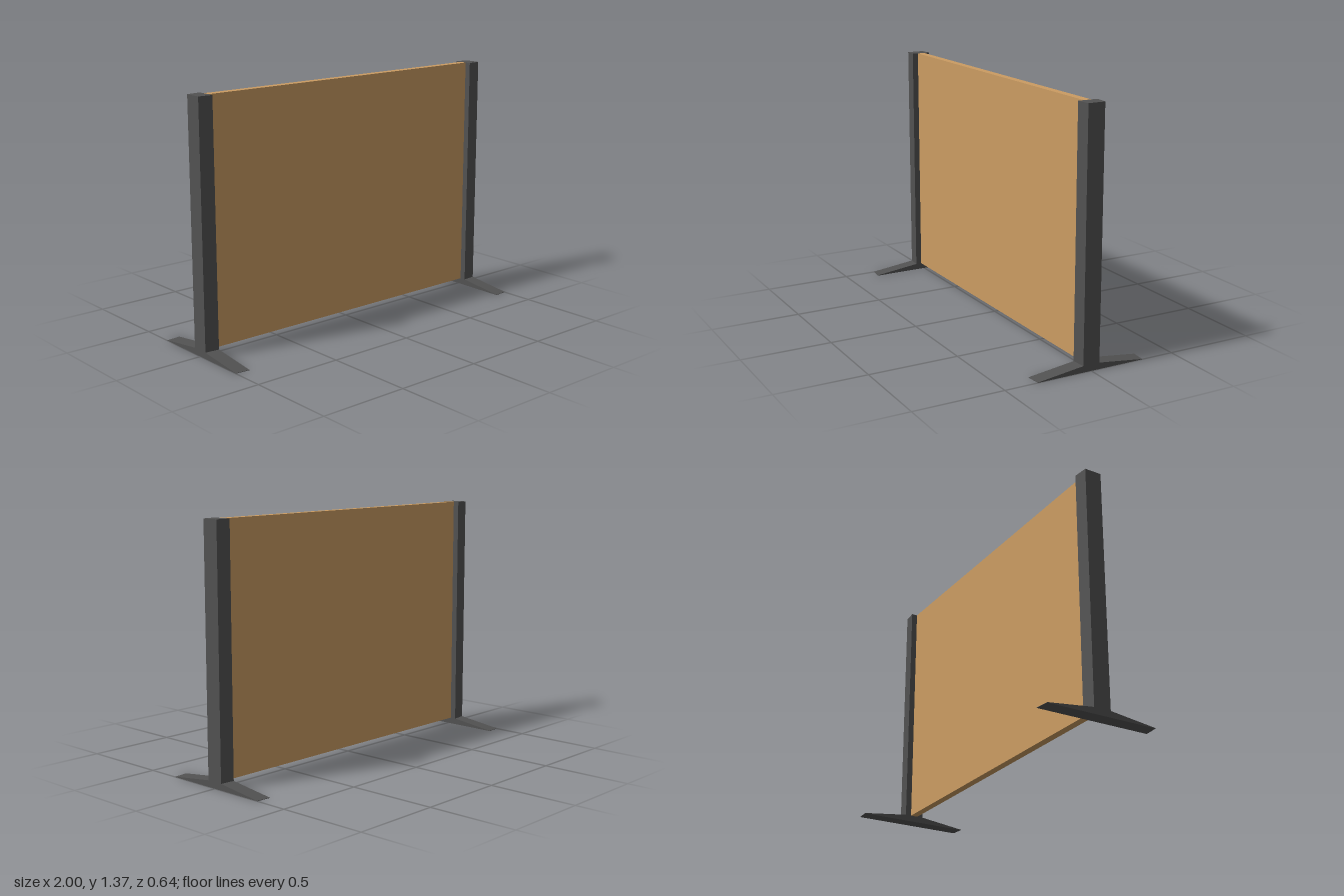
import * as THREE from 'three';

const INNER_X = 0.92, LEG_WIDTH = 0.08, HEIGHT = 1.37, FOOT_HEIGHT = 0.035;

// Upright and tapered feet in one silhouette, extruded sideways and slightly narrowed on the outside
function legGeometry() {
  const half = [[0.32, 0], [0.32, 0.002], [0.055, FOOT_HEIGHT], [0.055, HEIGHT]];
  const outline = [...half, ...half.map(([z, y]) => [-z, y]).reverse()];
  const shape = new THREE.Shape(outline.map(([z, y]) => new THREE.Vector2(z, y)));
  const geometry = new THREE.ExtrudeGeometry(shape, { depth: LEG_WIDTH, bevelEnabled: false });
  geometry.rotateY(Math.PI / 2);
  const p = geometry.attributes.position;
  for (let i = 0; i < p.count; i++) {
    if (p.getX(i) > LEG_WIDTH / 2) p.setZ(i, p.getZ(i) - Math.sign(p.getZ(i)) * 0.007);
  }
  geometry.translate(INNER_X, 0, 0);
  geometry.computeVertexNormals();
  return geometry;
}

export function createModel() {
  const charcoal = new THREE.MeshStandardMaterial({ name: 'charcoal', color: 0x525252 });
  const wood = new THREE.MeshStandardMaterial({ name: 'wood', color: 0xcb9c62 });
  const model = new THREE.Group();
  model.name = 'partitionScreen';

  // Panel between the legs
  const panelHeight = HEIGHT - FOOT_HEIGHT;
  const panel = new THREE.Mesh(new THREE.BoxGeometry(INNER_X * 2, panelHeight, 0.042), wood);
  panel.name = 'panel';
  panel.position.y = FOOT_HEIGHT + panelHeight / 2;
  model.add(panel);

  // Legs, the right one turned half around
  const geometry = legGeometry();
  for (const [name, turn] of [['leftLeg', 0], ['rightLeg', Math.PI]]) {
    const leg = new THREE.Mesh(geometry, charcoal);
    leg.name = name;
    leg.rotation.y = turn;
    model.add(leg);
  }
  return model;
}
